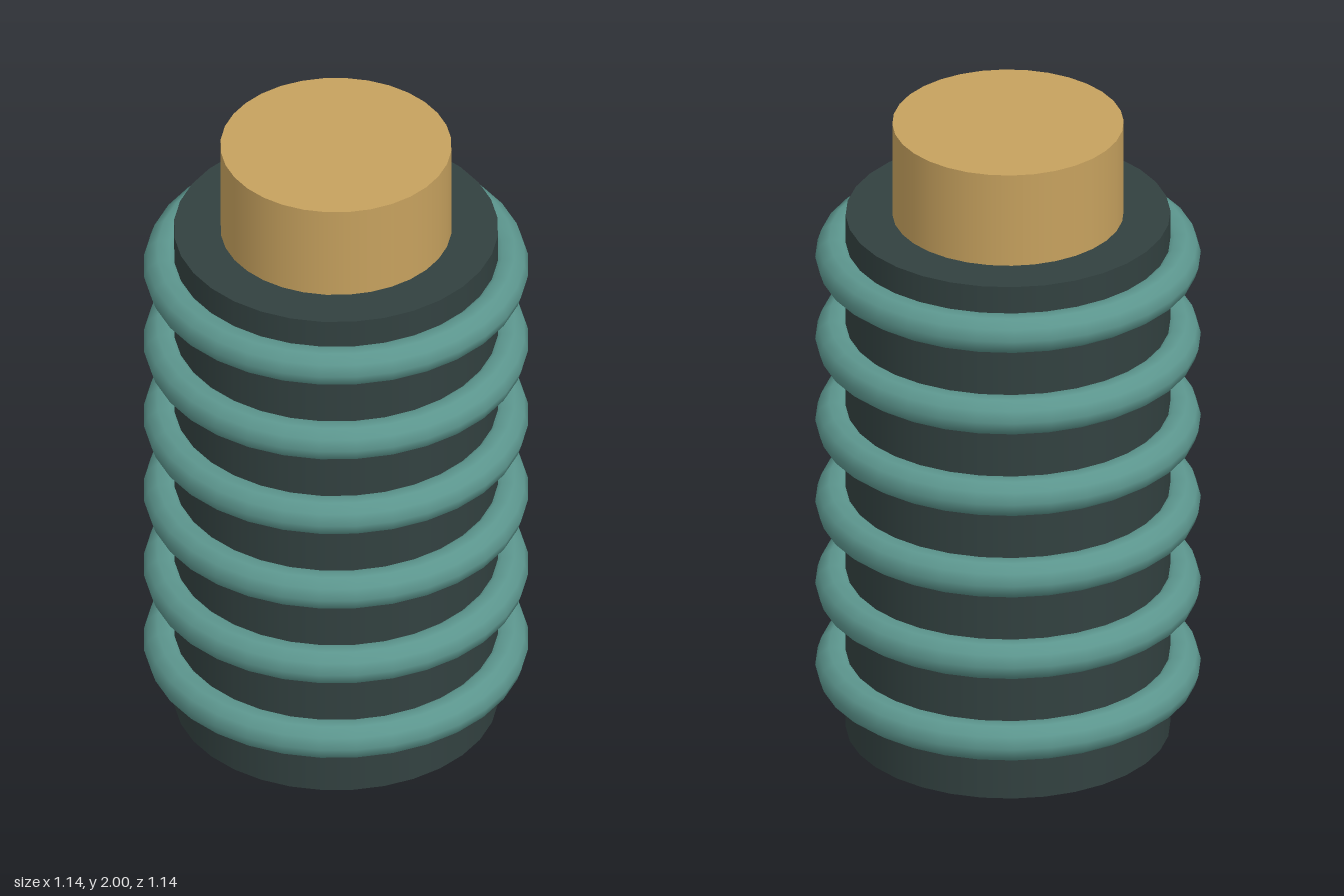
import * as THREE from 'three';

export function createModel() {
  const model = new THREE.Group();
  const material = (name, color) => {
    const m = new THREE.MeshStandardMaterial({ color });
    m.name = name;
    return m;
  };
  const dark = material('dark slate', 0x324140);
  const teal = material('teal', 0x5c968e);
  const brass = material('brass', 0xc6a15e);

  const add = (name, geometry, mat, y) => {
    const mesh = new THREE.Mesh(geometry, mat);
    mesh.name = name;
    mesh.position.y = y;
    model.add(mesh);
  };

  // Main column and the terminal on top
  add('body', new THREE.CylinderGeometry(0.48, 0.48, 1.7, 32), dark, 0.85);
  add('terminal', new THREE.CylinderGeometry(0.342, 0.342, 0.3, 32), brass, 1.85);

  // Six evenly spaced rings around the column
  const ring = new THREE.TorusGeometry(0.511, 0.059, 10, 32).rotateX(-Math.PI / 2);
  for (let i = 0; i < 6; i++) add(`ring${i + 1}`, ring, teal, 0.208 + i * 0.271);

  return model;
}
